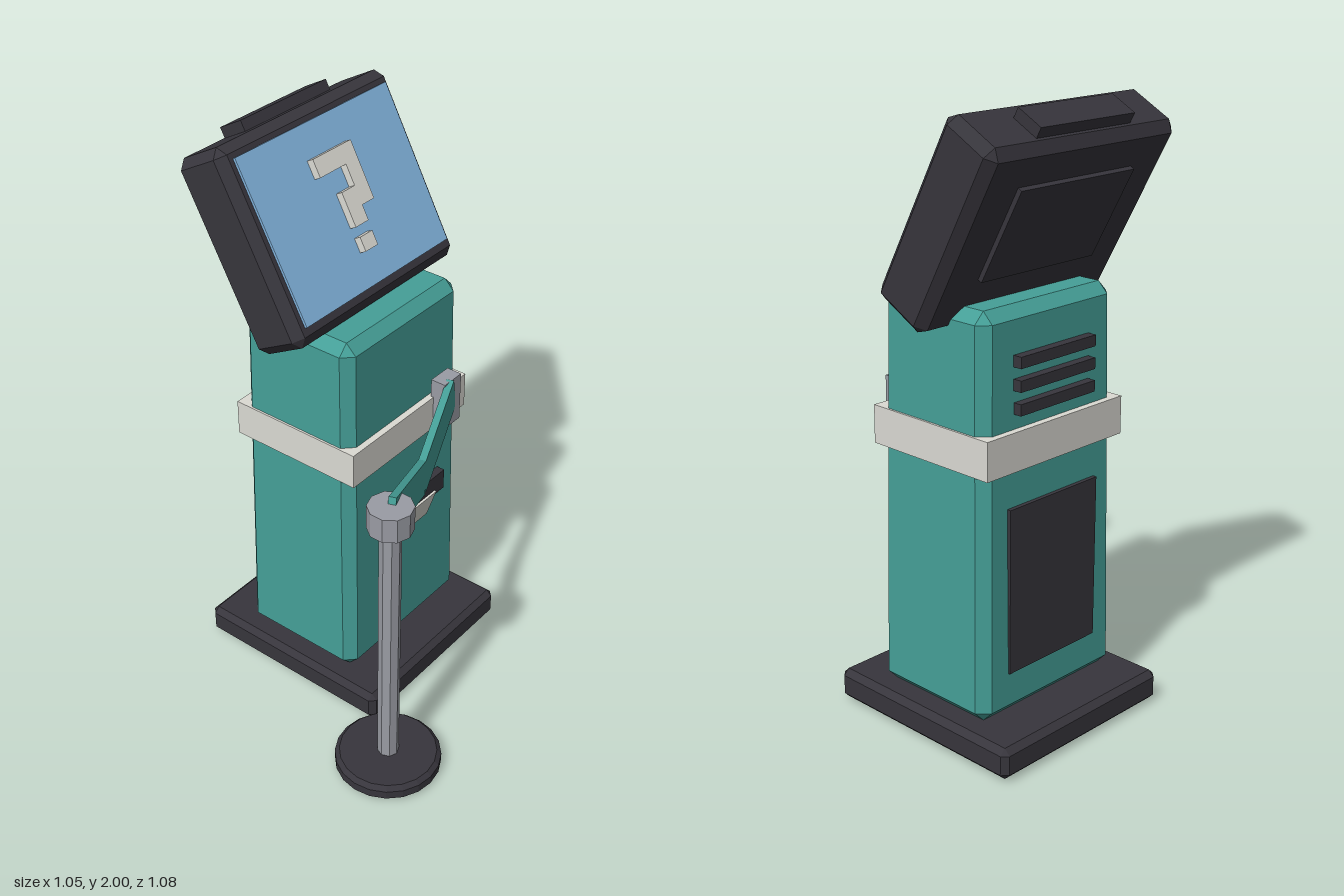
import * as THREE from 'three';
import { ConvexGeometry } from 'three/addons/geometries/ConvexGeometry.js';

const material = (name, color) => {
  const m = new THREE.MeshStandardMaterial({ color, flatShading: true });
  m.name = name;
  return m;
};

// Box with all edges cut at 45 degrees; topScale tapers it towards the top.
function chamferBox(w, h, d, b, topScaleX = 1, topScaleZ = 1) {
  const points = [];
  for (const sx of [-1, 1]) for (const sy of [-1, 1]) for (const sz of [-1, 1]) {
    for (const [ix, iy, iz] of [[0, b, b], [b, 0, b], [b, b, 0]]) {
      const kx = sy > 0 ? topScaleX : 1, kz = sy > 0 ? topScaleZ : 1;
      points.push(new THREE.Vector3(sx * (w / 2 * kx - ix), sy * (h / 2 - iy), sz * (d / 2 * kz - iz)));
    }
  }
  return new ConvexGeometry(points);
}

export function createModel() {
  const teal = material('teal', 0x459f97);
  const dark = material('charcoal', 0x37353c);
  const light = material('offWhite', 0xdbdad3);
  const grey = material('grey', 0x9a9ca4);
  const blue = material('screenBlue', 0x82b4de);

  const model = new THREE.Group();
  model.name = 'infoKiosk';
  const add = (parent, name, geometry, mat, x = 0, y = 0, z = 0) => {
    const mesh = new THREE.Mesh(geometry, mat);
    mesh.name = name;
    mesh.position.set(x, y, z);
    parent.add(mesh);
    return mesh;
  };
  const box = (w, h, d) => new THREE.BoxGeometry(w, h, d);

  // Pedestal, tapered body and waist band
  const cx = 0.12, cz = -0.16;
  add(model, 'base', chamferBox(0.725, 0.105, 0.755, 0.02), dark, cx, 0.0575, -0.1625);
  add(model, 'body', chamferBox(0.612, 1.305, 0.468, 0.036, 0.94, 0.93), teal, cx, 0.7625, cz);
  add(model, 'waistBand', box(0.6, 0.125, 0.49), light, cx, 0.9825, cz);

  // Ticket slot with a paper slip leaning back to the body
  add(model, 'ticketSlot', box(0.36, 0.077, 0.05), dark, cx, 0.678, 0.071);
  const slip = add(model, 'paperSlip', box(0.235, 0.122, 0.008), light, cx, 0.61, 0.088);
  slip.rotation.x = 0.32;

  // Rear door and vents
  add(model, 'rearDoor', box(0.39, 0.545, 0.02), dark, cx, 0.5275, -0.389);
  for (let i = 0; i < 3; i++) {
    add(model, 'rearVent', box(0.33, 0.036, 0.04), dark, cx, 1.11 + i * 0.0725, -0.39);
  }

  // Tilted display head
  const head = new THREE.Group();
  head.name = 'displayHead';
  head.position.set(0.1225, 1.667, -0.28);
  head.rotation.x = -0.5;
  model.add(head);
  add(head, 'displayCase', chamferBox(0.795, 0.645, 0.215, 0.03), dark);
  add(head, 'screen', box(0.708, 0.542, 0.009), blue, 0.0015, 0.0045, 0.113);
  add(head, 'topCover', box(0.397, 0.05, 0.098), dark, 0, 0.333, -0.019);
  add(head, 'rearCover', box(0.48, 0.324, 0.03), dark, 0, 0.0305, -0.108);

  // Raised question symbol
  const hook = new THREE.Shape([
    [-0.09, 0.17], [0.09, 0.17], [0.09, -0.024], [0.032, -0.024], [0.032, -0.075],
    [-0.03, -0.075], [-0.03, 0.04], [0.032, 0.04], [0.032, 0.11], [-0.09, 0.11],
  ].map(([x, y]) => new THREE.Vector2(x, y)));
  const hookGeometry = new THREE.ExtrudeGeometry(hook, { depth: 0.03, bevelEnabled: false });
  add(head, 'symbolHook', hookGeometry, light, -0.0025, 0, 0.113);
  add(head, 'symbolDot', box(0.06, 0.048, 0.03), light, -0.0025, -0.132, 0.128);

  // Queue post
  const post = new THREE.Group();
  post.name = 'queuePost';
  post.position.set(-0.348, 0, 0.363);
  model.add(post);
  const footProfile = [[0, 0], [0.163, 0], [0.178, 0.015], [0.178, 0.045], [0.163, 0.06], [0, 0.06]]
    .map(([x, y]) => new THREE.Vector2(x, y));
  add(post, 'postFoot', new THREE.LatheGeometry(footProfile, 20), dark);
  add(post, 'postPole', new THREE.CylinderGeometry(0.036, 0.036, 0.97, 8), grey, 0, 0.535, 0);
  add(post, 'postCap', new THREE.CylinderGeometry(0.073, 0.073, 0.085, 10), grey, 0, 1.0475, 0);

  // Sagging belt of two straight lengths, clipped to the body
  const belt = new THREE.Group();
  belt.name = 'queueBelt';
  belt.position.set(-0.03, 0, 0.243);
  belt.rotation.y = 0.366;
  model.add(belt);
  for (const s of [-1, 1]) {
    const half = add(belt, 'beltLength', box(0.37, 0.127, 0.025), teal, s * 0.167, 1.0, 0);
    half.rotation.z = s * 0.285;
  }
  add(model, 'beltClip', box(0.09, 0.177, 0.055), grey, 0.285, 1.022, 0.102);

  return model;
}
